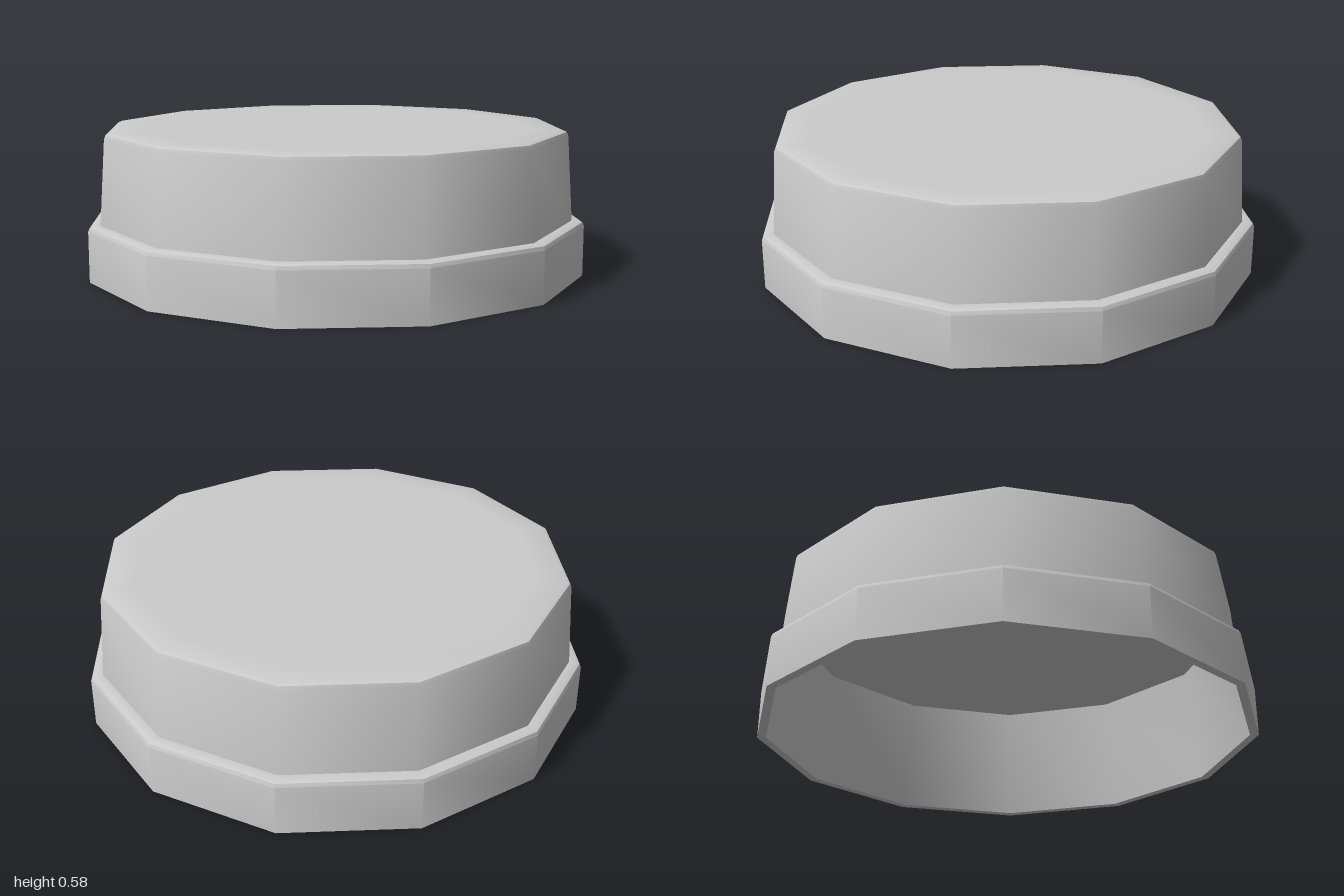
import * as THREE from 'three';
import { toCreasedNormals } from 'three/addons/utils/BufferGeometryUtils.js';

const SIDES = 12;

// Twelve-sided turned shell; scaled up while creasing so the small bevels stay distinct
function turned(profile, crease) {
  const points = profile.map(([r, y]) => new THREE.Vector2(r, y));
  const lathe = new THREE.LatheGeometry(points, SIDES).scale(100, 100, 100);
  return toCreasedNormals(lathe, crease).scale(0.01, 0.01, 0.01);
}

export function createModel() {
  const group = new THREE.Group();
  const material = new THREE.MeshStandardMaterial({ color: 0xcccccc });
  const add = (name, profile) => {
    const mesh = new THREE.Mesh(turned(profile, 0.6), material);
    mesh.name = name;
    group.add(mesh);
  };

  // Lower collar with a softened upper edge and a narrow ledge
  add('collar', [
    [0.965, 0], [1, 0], [1, 0.2], [0.994, 0.214], [0.98, 0.22], [0.952, 0.22],
  ]);

  // Tapered cap wall, rounded into the flat top
  add('cap', [
    [0.952, 0.22], [0.929, 0.555], [0.923, 0.57], [0.908, 0.576], [0.8, 0.576], [0, 0.576],
  ]);

  // Hollow inside: flat ceiling and tapered inner wall down to the rim
  add('innerShell', [
    [0, 0.475], [0.907, 0.475], [0.965, 0],
  ]);

  return group;
}
